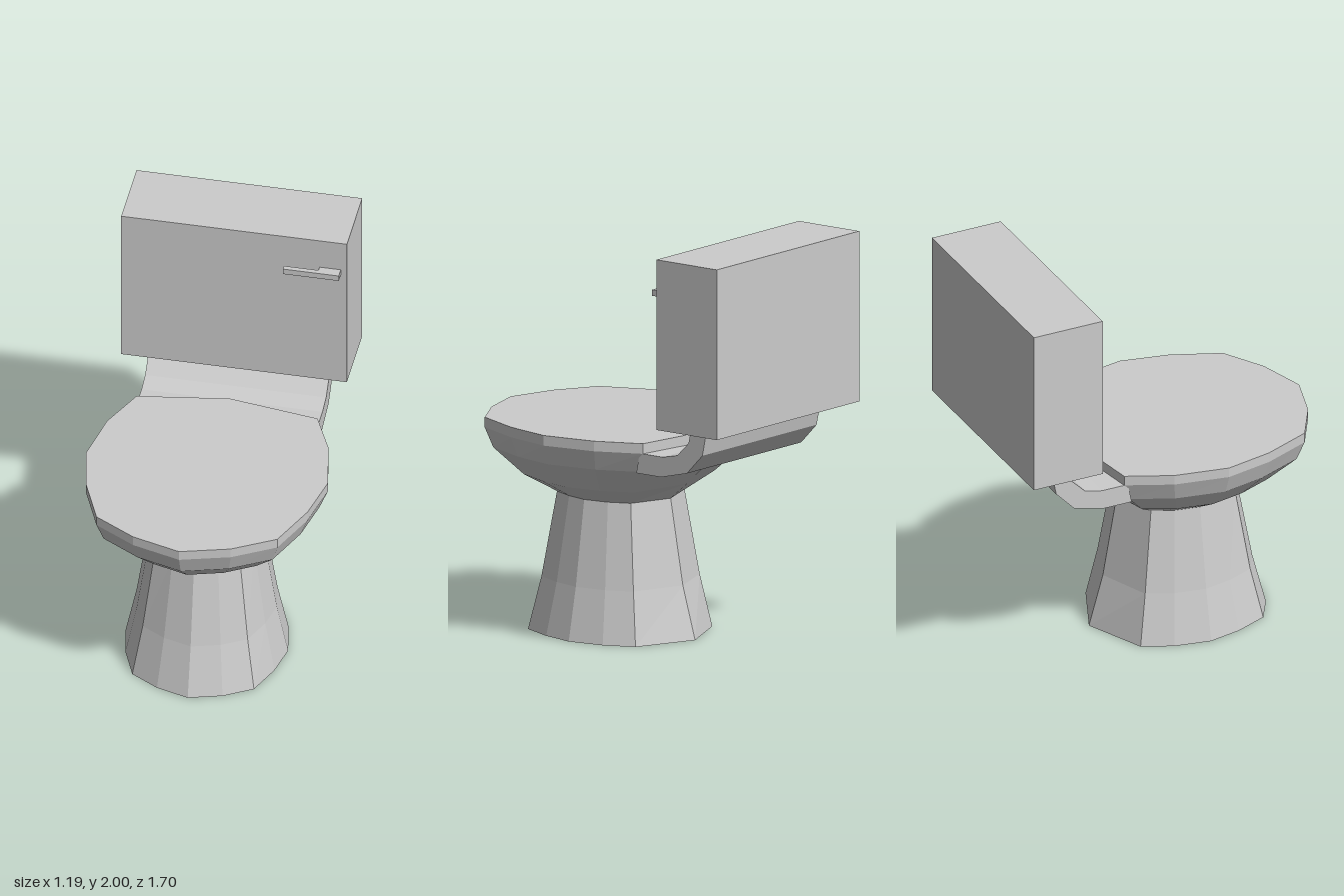
import * as THREE from 'three';

const material = new THREE.MeshStandardMaterial({ color: 0xcccccc, flatShading: true, side: THREE.DoubleSide });

// Half of the seat outline [x, z], from front tip to back tip
const HALF = [[0, 0.85], [0.24, 0.78], [0.445, 0.66], [0.545, 0.42], [0.595, 0.18], [0.545, -0.09], [0.445, -0.31], [0, -0.38]];
const OUTLINE = [...HALF, ...HALF.slice(1, -1).reverse().map(([x, z]) => [-x, z])];
const MID_Z = 0.18;

// Outline scaled to a half width, a front tip, a back corner and a back tip
function ring({ y, w, front, corner, tip, tipY = y }) {
  return OUTLINE.map(([x, z], i) => {
    if (i === HALF.length - 1) return [0, tipY, tip];
    const s = z > MID_Z ? (front - MID_Z) / 0.67 : (MID_Z - corner) / 0.49;
    return [x * w / 0.595, y, MID_Z + (z - MID_Z) * s];
  });
}

function fromTriangles(points) {
  const geometry = new THREE.BufferGeometry();
  geometry.setAttribute('position', new THREE.Float32BufferAttribute(points.flat(), 3));
  geometry.computeVertexNormals();
  return geometry;
}

// Skin over rings listed bottom to top, with optional flat caps
function loft(levels, capBottom, capTop) {
  const rings = levels.map(ring);
  const n = OUTLINE.length;
  const tris = [];
  for (let i = 0; i < n; i++) {
    const j = (i + 1) % n;
    for (let k = 0; k < rings.length - 1; k++) {
      const a = rings[k], b = rings[k + 1];
      tris.push(a[i], a[j], b[j], a[i], b[j], b[i]);
    }
    if (capBottom) tris.push([0, levels[0].y, MID_Z], rings[0][j], rings[0][i]);
    const top = rings[rings.length - 1];
    if (capTop) tris.push([0, levels[levels.length - 1].y, MID_Z], top[i], top[j]);
  }
  return fromTriangles(tris);
}

export function createModel() {
  const group = new THREE.Group();
  const add = (name, geometry, x = 0, y = 0, z = 0) => {
    const mesh = new THREE.Mesh(geometry, material);
    mesh.name = name;
    mesh.position.set(x, y, z);
    group.add(mesh);
  };
  const addBox = (name, x0, x1, y0, y1, z0, z1) =>
    add(name, new THREE.BoxGeometry(x1 - x0, y1 - y0, z1 - z0), (x0 + x1) / 2, (y0 + y1) / 2, (z0 + z1) / 2);

  // Flared foot
  const neck = { y: 0.68, w: 0.28, front: 0.49, corner: -0.05, tip: -0.13 };
  add('pedestal', loft([
    { y: 0, w: 0.4, front: 0.64, corner: -0.15, tip: -0.28 },
    { y: 0.26, w: 0.345, front: 0.57, corner: -0.105, tip: -0.205 },
    neck,
  ], true, false));

  // Bowl
  const rim = { y: 1.0, w: 0.595, front: 0.85, corner: -0.31, tip: -0.38 };
  add('bowl', loft([
    neck,
    { y: 0.765, w: 0.42, front: 0.66, corner: -0.15, tip: -0.23 },
    { y: 0.9, w: 0.555, front: 0.81, corner: -0.27, tip: -0.33, tipY: 0.86 },
    rim,
  ], false, false));

  // Flat lid
  add('lid', loft([rim, { ...rim, y: 1.05 }], true, true));

  // Curved neck carrying the tank: side profile [z, y] swept across the width
  const profile = [[-0.29, 1.0], [-0.43, 1.0], [-0.52, 1.02], [-0.59, 1.09], [-0.605, 1.16],
    [-0.7, 1.16], [-0.675, 1.04], [-0.58, 0.94], [-0.42, 0.9], [-0.27, 0.9]];
  const shape = new THREE.Shape(profile.map(([z, y]) => new THREE.Vector2(-z, y)));
  const support = new THREE.ExtrudeGeometry(shape, { depth: 0.89, bevelEnabled: false });
  support.rotateY(Math.PI / 2).translate(-0.445, 0, 0);
  add('tankSupport', support);

  // Shallow underside joining the support to the bowl
  const l = [0.445, 0.9, -0.42], r = [-0.445, 0.9, -0.42], tip = [0, 0.86, -0.33];
  const lb = [0.445, 0.9, -0.27], rb = [-0.445, 0.9, -0.27];
  add('supportUnderside', fromTriangles([r, l, tip, l, lb, tip, rb, r, tip]));

  // Tank and flush handle
  addBox('tank', -0.555, 0.555, 1.16, 2, -0.85, -0.48);
  addBox('handleLever', 0.25, 0.42, 1.81, 1.84, -0.455, -0.43);
  addBox('handleMount', 0.42, 0.525, 1.81, 1.84, -0.48, -0.43);

  return group;
}
